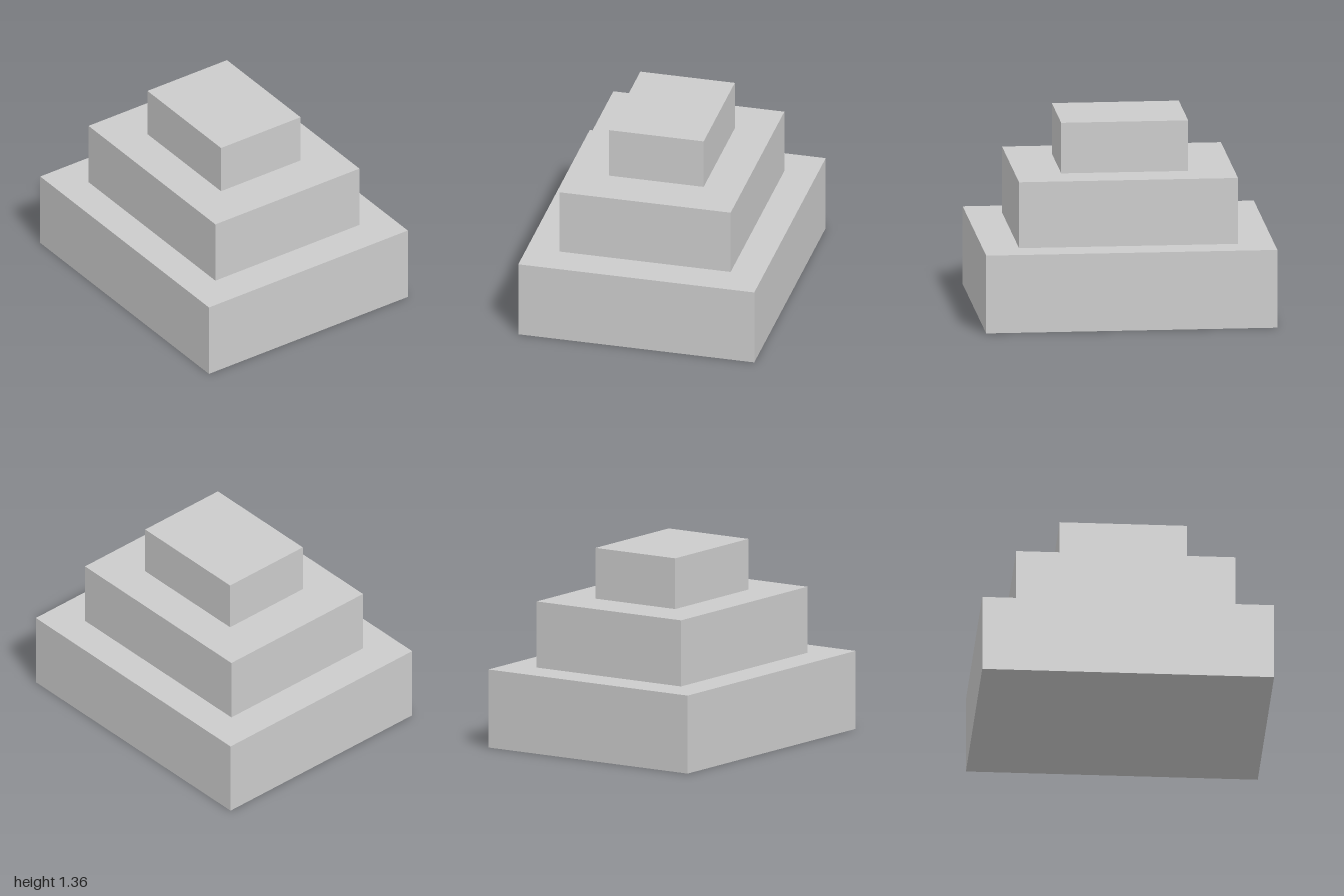
import * as THREE from 'three';

// Stepped block: three centred tiers, each standing on the one below
const TIERS = [
  { name: 'lowerTier', width: 2, depth: 1.664, bottom: 0, top: 0.543 },
  { name: 'middleTier', width: 1.504, depth: 1.206, bottom: 0.543, top: 1.003 },
  { name: 'upperTier', width: 0.872, depth: 0.666, bottom: 1.003, top: 1.356 },
];

export function createModel() {
  const model = new THREE.Group();
  model.name = 'steppedBlock';
  const material = new THREE.MeshStandardMaterial({ color: 0xcccccc, flatShading: true });

  for (const { name, width, depth, bottom, top } of TIERS) {
    const tier = new THREE.Mesh(new THREE.BoxGeometry(width, top - bottom, depth), material);
    tier.name = name;
    tier.position.y = (bottom + top) / 2;
    model.add(tier);
  }
  return model;
}
